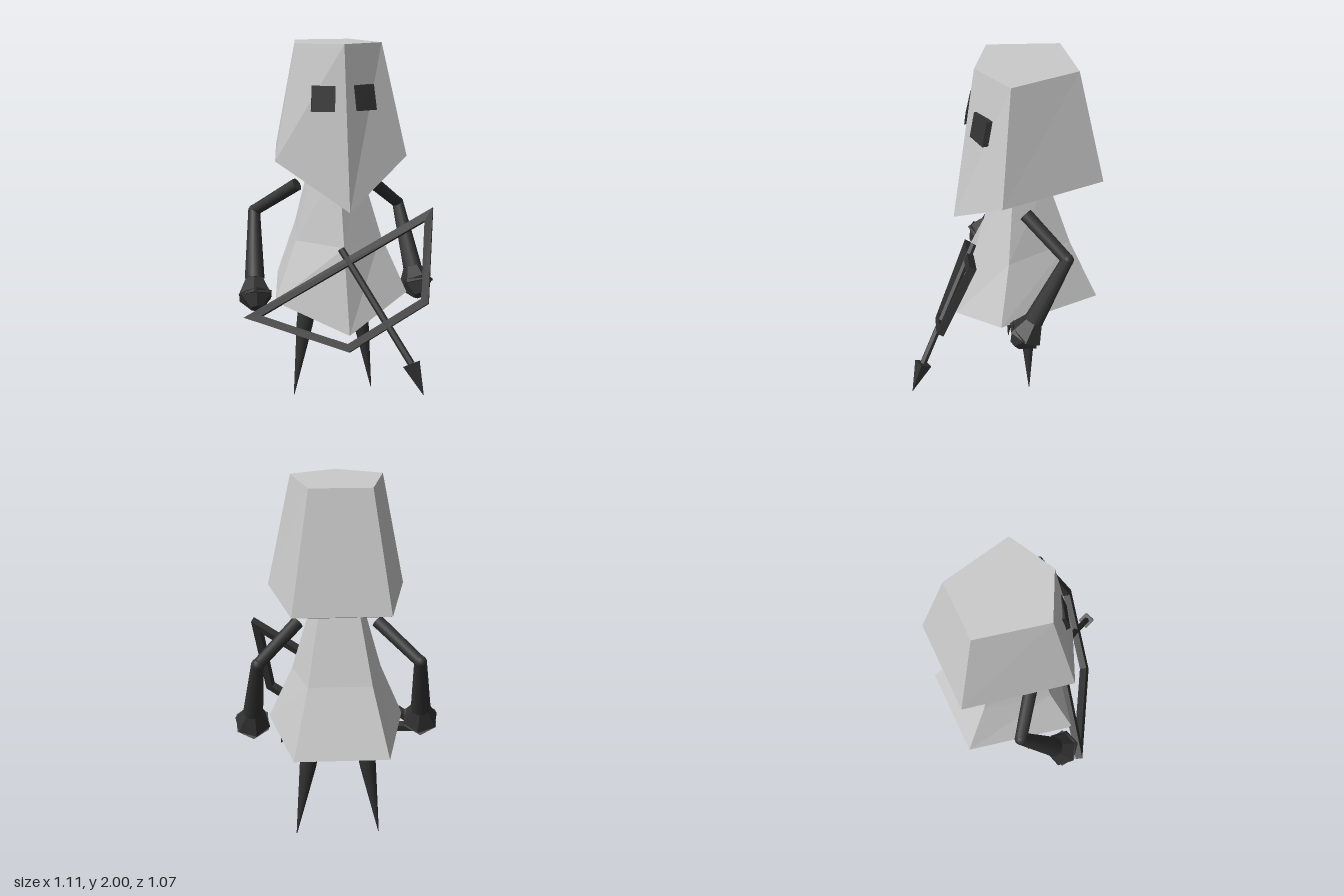
import * as THREE from 'three';
import { ConvexGeometry } from 'three/addons/geometries/ConvexGeometry.js';

const V = (x, y, z) => new THREE.Vector3(x, y, z);
const pale = new THREE.MeshStandardMaterial({ color: 0xcccccc, flatShading: true });
const dark = new THREE.MeshStandardMaterial({ color: 0x333333, flatShading: true });
const darkSmooth = new THREE.MeshStandardMaterial({ color: 0x333333 });

function part(name, geometry, material) {
  const mesh = new THREE.Mesh(geometry, material);
  mesh.name = name;
  return mesh;
}

// Skin a list of rings; either join the last ring to the first or cap both ends
function loft(rings, closed = false) {
  const pos = [];
  const tri = (...pts) => pts.forEach((p) => pos.push(p.x, p.y, p.z));
  const n = rings[0].length;
  const last = rings.length - 1;
  for (let i = 0; i < (closed ? last + 1 : last); i++) {
    const lo = rings[i], hi = rings[(i + 1) % rings.length];
    for (let j = 0; j < n; j++) {
      const k = (j + 1) % n;
      tri(lo[j], lo[k], hi[k]);
      tri(lo[j], hi[k], hi[j]);
    }
  }
  if (!closed) {
    for (let k = 1; k < n - 1; k++) {
      tri(rings[0][0], rings[0][k + 1], rings[0][k]);
      tri(rings[last][0], rings[last][k], rings[last][k + 1]);
    }
  }
  const g = new THREE.BufferGeometry();
  g.setAttribute('position', new THREE.Float32BufferAttribute(pos, 3));
  g.computeVertexNormals();
  return g;
}

// Five-cornered section: pointed front, two sides, two back corners; each as [.., y, z]
function pentagon([fy, fz], [sx, sy, sz], [bx, by, bz]) {
  return [V(0, fy, fz), V(sx, sy, sz), V(bx, by, bz), V(-bx, by, bz), V(-sx, sy, sz)];
}

// Tapered rod from a (radius ra) to b (radius rb)
function rod(name, a, b, ra, rb, sides = 10, material = darkSmooth) {
  const dir = b.clone().sub(a);
  const mesh = part(name, new THREE.CylinderGeometry(rb, ra, dir.length(), sides), material);
  mesh.position.copy(a).add(b).multiplyScalar(0.5);
  mesh.quaternion.setFromUnitVectors(V(0, 1, 0), dir.normalize());
  return mesh;
}

function ball(name, p, r) {
  const mesh = part(name, new THREE.SphereGeometry(r, 10, 8), darkSmooth);
  mesh.position.copy(p);
  return mesh;
}

// Square-section frame with mitred corners through a loop of points
function frame(points, half) {
  const n = points.length;
  const dir = points.map((p, i) => points[(i + 1) % n].clone().sub(p).normalize());
  const normal = dir[0].clone().cross(dir[1]).normalize();
  const rings = points.map((p, i) => {
    const a = normal.clone().cross(dir[(i + n - 1) % n]);
    const b = normal.clone().cross(dir[i]);
    const u = a.clone().add(b).normalize();
    u.multiplyScalar(half / u.dot(b));
    return [[1, 1], [-1, 1], [-1, -1], [1, -1]].map(([s, t]) =>
      p.clone().addScaledVector(u, s).addScaledVector(normal, t * half));
  });
  return loft(rings, true);
}

export function createModel() {
  const model = new THREE.Group();
  model.name = 'hoodedArcher';

  // Hooded head with a pointed chin
  model.add(part('head', loft([
    pentagon([1.14, 0.21], [0.36, 1.4, 0.04], [0.245, 1.4, -0.525]),
    pentagon([2, 0.09], [0.235, 2, -0.03], [0.155, 2, -0.395]),
  ]), pale));

  // Flared robe, its neck running up into the head
  model.add(part('robe', loft([
    pentagon([0.465, 0.21], [0.37, 0.635, 0.045], [0.245, 0.635, -0.535]),
    pentagon([0.92, 0.09], [0.24, 0.95, -0.03], [0.165, 0.98, -0.39]),
    pentagon([1.36, -0.02], [0.125, 1.36, -0.08], [0.1, 1.36, -0.27]),
  ]), pale));

  for (const s of [1, -1]) {
    const side = s > 0 ? 'left' : 'right';

    // Eye: thin plate set into the slanted face
    const plate = [[0.05, 1.79, 0.104], [0.165, 1.79, 0.07], [0.175, 1.66, 0.095], [0.06, 1.66, 0.13]];
    const corners = plate.flatMap(([x, y, z]) => [V(s * x, y, z), V(s * x, y, z - 0.03)]);
    model.add(part(side + 'Eye', new ConvexGeometry(corners), dark));

    // Bent arm
    const shoulder = V(s * 0.21, 1.24, -0.125);
    const elbow = V(s * 0.42, 1.07, -0.29);
    const wrist = V(s * 0.455, 0.73, -0.11);
    const palm = V(s * 0.461, 0.645, -0.06);
    const knuckles = V(s * 0.463, 0.59, -0.005);
    const arm = new THREE.Group();
    arm.name = side + 'Arm';
    arm.add(
      rod('upperArm', shoulder, elbow, 0.036, 0.032),
      ball('elbow', elbow, 0.034),
      rod('forearm', elbow, wrist, 0.033, 0.054),
      rod('hand', wrist, palm, 0.052, 0.1, 6, dark),
      rod('knuckles', palm, knuckles, 0.1, 0.035, 6, dark),
    );
    model.add(arm);

    // Spiked leg
    const knee = V(s * 0.165, 0.42, -0.165);
    const leg = new THREE.Group();
    leg.name = side + 'Leg';
    leg.add(
      rod('thigh', V(s * 0.135, 0.62, -0.165), knee, 0.056, 0.046),
      rod('shin', knee, V(s * 0.23, 0, -0.165), 0.046, 0.002),
    );
    model.add(leg);
  }

  // Angular bow, the long bar being its string
  model.add(part('bow', frame([
    V(-0.49, 0.555, 0.03), V(-0.03, 0.43, 0.3), V(0.365, 0.68, 0.37), V(0.43, 1.11, 0.22),
  ], 0.02), dark));

  // Arrow laid across the bow
  const neck = V(0.265, 0.375, 0.46);
  const arrow = new THREE.Group();
  arrow.name = 'arrow';
  arrow.add(
    rod('shaft', V(-0.02, 0.92, 0.1), neck, 0.019, 0.019, 6, dark),
    rod('arrowhead', neck, V(0.31, 0.225, 0.535), 0.048, 0.001, 4, dark),
  );
  model.add(arrow);

  return model;
}
